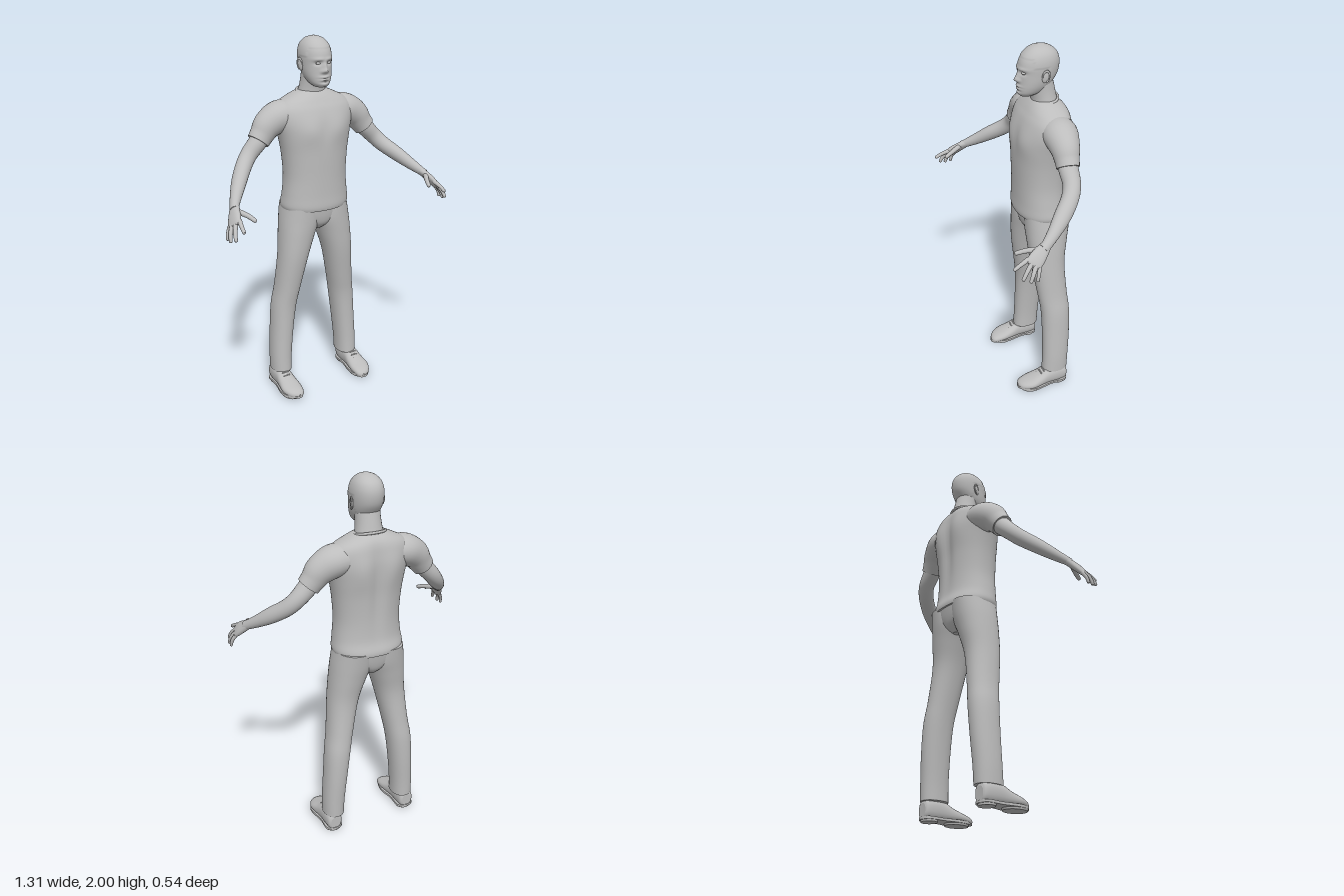
import * as THREE from 'three';

const grey = new THREE.MeshStandardMaterial({ color: 0xbdbdbd });
grey.name = 'plain grey';

const V = (x, y, z) => new THREE.Vector3(x, y, z);
const X = V(1, 0, 0), Y = V(0, 1, 0), Z = V(0, 0, 1);
const bump = (a, b) => Math.exp(-a * a - b * b);

// Catmull-Rom through rows of numbers
function smoothRows(rows, steps) {
  const out = [], last = rows.length - 1;
  for (let i = 0; i < last; i++) {
    const a = rows[Math.max(i - 1, 0)], b = rows[i], c = rows[i + 1], d = rows[Math.min(i + 2, last)];
    for (let k = 0; k < steps; k++) {
      const t = k / steps;
      out.push(b.map((_, n) => {
        const cubic = 3 * (b[n] - c[n]) + d[n] - a[n];
        const square = 2 * a[n] - 5 * b[n] + 4 * c[n] - d[n];
        return b[n] + 0.5 * t * (c[n] - a[n] + t * (square + t * cubic));
      }));
    }
  }
  out.push(rows[last]);
  return out;
}

// Skin of rounded sections [x, y, z, radiusU, radiusV]; wide = U axis, dir = fixed section normal
function loft(rows, { wide = X, dir = null, n = 2, sides = 28, steps = 5, mod = null } = {}) {
  const rings = smoothRows(rows, steps), pos = [], idx = [], m = rings.length;
  const at = i => V(...rings[Math.min(Math.max(i, 0), m - 1)].slice(0, 3));
  rings.forEach((r, i) => {
    const t = dir ? dir.clone() : at(i + 1).sub(at(i - 1)).normalize();
    const u = wide.clone().addScaledVector(t, -wide.dot(t)).normalize();
    const v = t.clone().cross(u);
    for (let j = 0; j < sides; j++) {
      const a = j / sides * Math.PI * 2, c = Math.cos(a), s = Math.sin(a);
      const p = at(i).addScaledVector(u, r[3] * Math.sign(c) * Math.abs(c) ** (2 / n))
        .addScaledVector(v, r[4] * Math.sign(s) * Math.abs(s) ** (2 / n));
      if (mod) mod(p);
      pos.push(p.x, p.y, p.z);
    }
  });
  for (let i = 0; i < m - 1; i++) for (let j = 0; j < sides; j++) {
    const a = i * sides + j, b = i * sides + (j + 1) % sides;
    idx.push(a, b, b + sides, a, b + sides, a + sides);
  }
  // flat end caps with their own vertices
  for (const [ring, flip] of [[0, true], [m - 1, false]]) {
    const base = pos.length / 3, mid = V(0, 0, 0);
    for (let j = 0; j < sides; j++) {
      const q = pos.slice((ring * sides + j) * 3, (ring * sides + j) * 3 + 3);
      mid.add(V(...q));
      pos.push(...q);
    }
    mid.divideScalar(sides);
    pos.push(mid.x, mid.y, mid.z);
    for (let j = 0; j < sides; j++) {
      const a = base + j, b = base + (j + 1) % sides;
      idx.push(...(flip ? [b, a, base + sides] : [a, b, base + sides]));
    }
  }
  const g = new THREE.BufferGeometry();
  g.setAttribute('position', new THREE.Float32BufferAttribute(pos, 3));
  g.setIndex(idx);
  g.computeVertexNormals();
  return g;
}

// Level section from its extents
const level = (y, x0, x1, zf, zb) => [(x0 + x1) / 2, y, (zf + zb) / 2, (x1 - x0) / 2, (zf - zb) / 2];
const body = (y, w, zf, zb) => level(y, -w, w, zf, zb);

export function createModel() {
  const model = new THREE.Group();
  model.name = 'standingMan';
  const add = (name, geometry) => {
    const mesh = new THREE.Mesh(geometry, grey);
    mesh.name = name;
    model.add(mesh);
  };
  const pair = (name, geometry) => {
    add(name + 'Left', geometry);
    const g = geometry.clone().scale(-1, 1, 1);
    if (!g.index) g.setIndex([...Array(g.attributes.position.count).keys()]);
    const a = g.index.array;
    for (let i = 0; i < a.length; i += 3) [a[i], a[i + 1]] = [a[i + 1], a[i]];
    add(name + 'Right', g);
  };

  // Head with modelled face and a raised hairline
  add('head', loft([
    body(1.75, 0.032, -0.012, -0.085), body(1.768, 0.052, -0.002, -0.125), body(1.795, 0.066, -0.001, -0.16),
    body(1.825, 0.074, -0.003, -0.185), body(1.86, 0.078, -0.004, -0.205), body(1.9, 0.08, -0.004, -0.213),
    body(1.935, 0.076, -0.014, -0.21), body(1.965, 0.064, -0.035, -0.195), body(1.988, 0.042, -0.065, -0.165),
    body(1.998, 0.016, -0.095, -0.135), body(2.0, 0.003, -0.11, -0.118),
  ], {
    dir: Y, n: 2.15, sides: 72, steps: 7, mod: p => {
      const ax = Math.abs(p.x);
      if (p.z > -0.09) {
        p.z += 0.022 * bump(p.x / 0.013, (p.y - 1.836) / 0.014) + 0.012 * bump(p.x / 0.011, (p.y - 1.86) / 0.018)
          + 0.007 * bump((ax - 0.016) / 0.008, (p.y - 1.832) / 0.009)
          - 0.012 * bump((ax - 0.032) / 0.017, (p.y - 1.873) / 0.01)
          + 0.006 * bump((ax - 0.03) / 0.03, (p.y - 1.892) / 0.008)
          + 0.009 * bump(p.x / 0.024, (p.y - 1.803) / 0.006) + 0.009 * bump(p.x / 0.021, (p.y - 1.789) / 0.006)
          - 0.004 * bump(p.x / 0.026, (p.y - 1.796) / 0.003) - 0.005 * bump(p.x / 0.02, (p.y - 1.777) / 0.005)
          + 0.005 * bump(p.x / 0.02, (p.y - 1.764) / 0.01);
      }
      const line = p.z > -0.06 ? 1.945 : p.z > -0.13 ? 1.9 : 1.81;
      if (p.y > line && p.y < 1.99) { p.x *= 1.025; p.z = -0.11 + (p.z + 0.11) * 1.02; }
    },
  }));
  pair('eye', new THREE.SphereGeometry(0.011, 16, 12).scale(1.2, 0.6, 0.8).translate(0.031, 1.873, -0.018));
  pair('ear', new THREE.SphereGeometry(1, 18, 14).scale(0.007, 0.031, 0.019)
    .rotateX(-0.2).rotateY(-0.3).translate(0.08, 1.858, -0.115));
  pair('earRim', new THREE.TorusGeometry(0.019, 0.0045, 8, 24, 4.6).rotateZ(-1.2)
    .rotateY(Math.PI / 2).scale(1, 1.5, 0.9).rotateX(-0.2).rotateY(-0.3).translate(0.083, 1.86, -0.115));
  add('neck', loft([[0, 1.67, -0.15, 0.085, 0.075], [0, 1.72, -0.142, 0.073, 0.066],
    [0, 1.77, -0.132, 0.066, 0.064], [0, 1.83, -0.12, 0.064, 0.062]], { dir: Y }));

  // Shirt body, collar and sleeves
  add('shirt', loft([
    body(1.085, 0.188, 0.012, -0.268), body(1.11, 0.194, 0.016, -0.268), body(1.17, 0.186, 0.014, -0.252),
    body(1.27, 0.178, 0.014, -0.248), body(1.39, 0.186, 0.016, -0.253), body(1.49, 0.203, 0.016, -0.26),
    body(1.57, 0.222, 0.003, -0.26), body(1.63, 0.222, -0.018, -0.253), body(1.668, 0.192, -0.04, -0.245),
    body(1.695, 0.14, -0.058, -0.232), body(1.715, 0.095, -0.075, -0.212), body(1.722, 0.07, -0.085, -0.2),
  ], {
    dir: Y, n: 2.2, sides: 64, mod: p => {
      const ax = Math.abs(p.x);
      if (p.z < -0.17) {
        p.z += 0.016 * bump(p.x / 0.035, (p.y - 1.45) / 0.22) - 0.01 * bump((ax - 0.09) / 0.05, (p.y - 1.55) / 0.09);
      }
      if (p.z > -0.09) {
        p.z += 0.008 * bump((ax - 0.085) / 0.06, (p.y - 1.53) / 0.06) - 0.004 * bump(p.x / 0.03, (p.y - 1.52) / 0.08);
      }
    },
  }));
  add('collar', new THREE.TorusGeometry(0.079, 0.007, 10, 48).rotateX(Math.PI / 2)
    .scale(1.04, 1, 0.88).rotateX(0.22).translate(0, 1.712, -0.143));
  pair('sleeve', loft([[0.1, 1.6, -0.148, 0.08, 0.07], [0.19, 1.597, -0.146, 0.09, 0.083],
    [0.262, 1.56, -0.14, 0.075, 0.077], [0.3, 1.515, -0.135, 0.062, 0.065],
    [0.326, 1.482, -0.13, 0.057, 0.06]], { wide: Z }));

  // Bare arms
  pair('arm', loft([[0.28, 1.535, -0.135, 0.05, 0.05], [0.33, 1.477, -0.13, 0.05, 0.048],
    [0.385, 1.42, -0.124, 0.045, 0.044], [0.43, 1.372, -0.094, 0.044, 0.042], [0.486, 1.32, -0.03, 0.043, 0.038],
    [0.535, 1.272, 0.036, 0.033, 0.03], [0.57, 1.238, 0.09, 0.026, 0.022], [0.58, 1.228, 0.11, 0.027, 0.02]],
  { wide: V(0.3, -0.6, -0.6) }));

  // Hands: palm, four fingers and a thumb
  const across = V(0.035, -0.045, -0.06).normalize();
  pair('palm', loft([[0.566, 1.242, 0.084, 0.023, 0.02], [0.58, 1.223, 0.112, 0.032, 0.019],
    [0.596, 1.2, 0.145, 0.04, 0.018], [0.609, 1.178, 0.172, 0.04, 0.014], [0.613, 1.171, 0.181, 0.032, 0.008]],
  { wide: across, n: 2.3 }));
  const fingers = {
    indexFinger: [[0.589, 1.199, 0.187], [0.597, 1.183, 0.23], [0.601, 1.163, 0.268]],
    middleFinger: [[0.604, 1.185, 0.177], [0.624, 1.152, 0.211], [0.632, 1.115, 0.235]],
    ringFinger: [[0.617, 1.172, 0.163], [0.637, 1.139, 0.184], [0.644, 1.101, 0.2]],
    littleFinger: [[0.623, 1.163, 0.147], [0.64, 1.133, 0.158], [0.646, 1.1, 0.166]],
    thumb: [[0.574, 1.226, 0.125], [0.542, 1.214, 0.18], [0.521, 1.197, 0.23]],
  };
  for (const [name, [a, b, c]] of Object.entries(fingers)) {
    const r = name === 'thumb' ? 0.0125 : name === 'littleFinger' ? 0.009 : 0.0105;
    const tip = k => c.map((v, i) => v + (v - b[i]) * k);
    pair(name, loft([[...a, r * 1.2, r * 1.2], [...b, r, r], [...tip(-0.15), r * 0.85, r * 0.85],
      [...tip(0), r * 0.55, r * 0.5], [...tip(0.05), r * 0.1, r * 0.1]], { wide: across, sides: 14, steps: 4 }));
  }

  // Trousers
  add('trouserSeat', loft([body(0.955, 0.025, -0.07, -0.2), body(0.99, 0.09, -0.03, -0.232),
    body(1.035, 0.165, -0.014, -0.248), body(1.1, 0.184, -0.006, -0.26)], { dir: Y, n: 2.2, sides: 40 }));
  pair('trouserLeg', loft([
    level(0.1, 0.162, 0.277, -0.068, -0.218), level(0.2, 0.157, 0.276, -0.072, -0.222),
    level(0.35, 0.142, 0.268, -0.073, -0.23), level(0.5, 0.122, 0.258, -0.069, -0.231),
    level(0.62, 0.1, 0.24, -0.053, -0.221), level(0.8, 0.06, 0.223, -0.026, -0.213),
    level(0.93, 0.018, 0.212, -0.015, -0.232), level(1.02, -0.015, 0.202, -0.01, -0.25),
    level(1.1, -0.01, 0.188, -0.008, -0.263),
  ], { dir: Y, n: 2.2, sides: 36 }));

  // Shoes: upper, sole, heel, tread and laces
  pair('shoeUpper', loft([
    [0.231, 0.055, -0.207, 0.028, 0.036], [0.231, 0.06, -0.195, 0.041, 0.052], [0.231, 0.063, -0.15, 0.046, 0.06],
    [0.231, 0.06, -0.09, 0.047, 0.054], [0.231, 0.048, -0.04, 0.053, 0.04], [0.231, 0.039, 0.01, 0.058, 0.03],
    [0.226, 0.032, 0.05, 0.049, 0.024], [0.22, 0.026, 0.075, 0.034, 0.018], [0.217, 0.022, 0.087, 0.012, 0.009],
  ], { dir: Z, n: 2.3, mod: p => { p.y = Math.max(p.y, 0.012); } }));
  const outline = new THREE.Shape(new THREE.SplineCurve([
    [0.231, -0.212], [0.277, -0.19], [0.277, -0.1], [0.291, -0.01], [0.28, 0.04], [0.243, 0.083],
    [0.216, 0.09], [0.193, 0.078], [0.173, 0.02], [0.172, -0.03], [0.184, -0.1], [0.185, -0.19], [0.231, -0.212],
  ].map(p => new THREE.Vector2(...p))).getPoints(60));
  pair('shoeSole', new THREE.ExtrudeGeometry(outline, { depth: 0.013, bevelEnabled: false })
    .rotateX(Math.PI / 2).translate(0, 0.023, 0));
  pair('shoeHeel', new THREE.CylinderGeometry(0.046, 0.044, 0.02, 28).scale(1, 1, 0.95).translate(0.231, 0.01, -0.163));
  pair('shoeTread', new THREE.CylinderGeometry(0.056, 0.053, 0.012, 28).scale(1, 1, 1.25).translate(0.231, 0.006, 0.006));
  for (let i = 0; i < 3; i++) {
    pair('lace' + (i + 1), new THREE.CapsuleGeometry(0.004, 0.035, 4, 8).rotateZ(Math.PI / 2)
      .translate(0.231, 0.101 - i * 0.011, -0.066 + i * 0.018));
  }
  return model;
}
